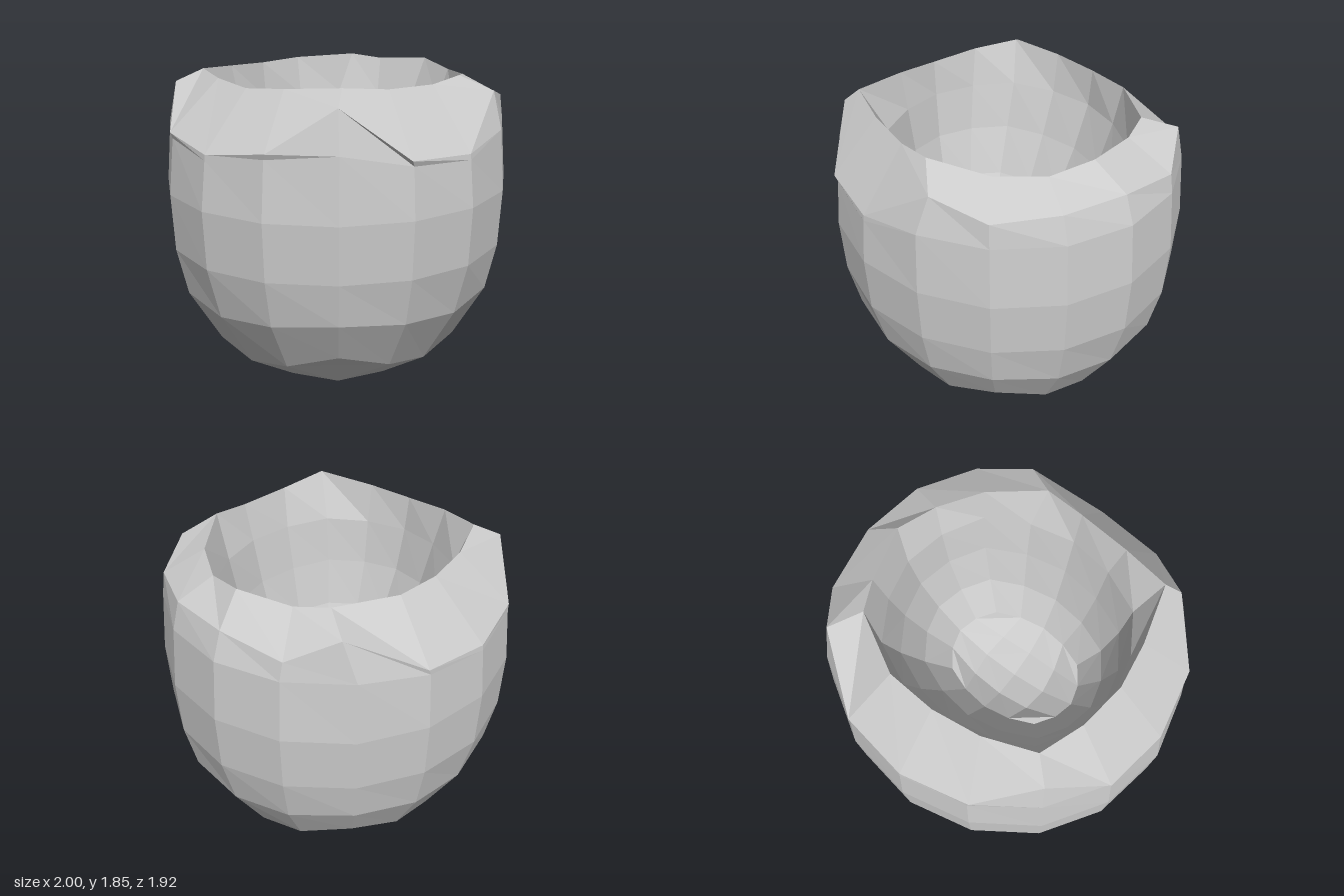
import * as THREE from 'three';

const SIDES = 16;

// One loop of points around the y axis, starting at +x and turning towards the front.
// rule(k, m) gives [radiusX, radiusZ, y, offsetZ]; m is 0 mid-side, 1 between, 2 at a corner.
function ring(rule) {
  return Array.from({ length: SIDES }, (_, k) => {
    const a = (k * Math.PI * 2) / SIDES;
    const [rx, rz, y, oz = 0] = rule(k, 2 - Math.abs((k % 4) - 2));
    return [rx * Math.cos(a), y, rz * Math.sin(a) + oz];
  });
}

// Quads between two neighbouring loops
function band(out, lower, upper) {
  for (let k = 0; k < SIDES; k++) {
    const n = (k + 1) % SIDES;
    out.push(lower[k], upper[k], upper[n], lower[k], upper[n], lower[n]);
  }
}

// A 4 x 4 grid of quads that closes a loop
function cap(out, outer, inner, centre, facingUp) {
  const point = (i, j) => {
    const level = Math.max(Math.abs(i), Math.abs(j));
    if (level === 0) return centre;
    const k = (Math.round((Math.atan2(j, i) * 8) / Math.PI) + SIDES) % SIDES;
    return (level === 2 ? outer : inner)[k];
  };
  for (let i = -2; i < 2; i++) {
    for (let j = -2; j < 2; j++) {
      const a = point(i, j), b = point(i + 1, j), c = point(i + 1, j + 1), d = point(i, j + 1);
      // split away from the corners so the grid stays convex
      const tris = i * j < 0 || (i + 1) * (j + 1) <= 0 ? [a, b, c, a, c, d] : [a, b, d, b, c, d];
      if (facingUp) tris.reverse();
      out.push(...tris);
    }
  }
}

function mesh(name, points, material) {
  const geometry = new THREE.BufferGeometry();
  geometry.setAttribute('position', new THREE.Float32BufferAttribute(points.flat(), 3));
  geometry.computeVertexNormals();
  const result = new THREE.Mesh(geometry, material);
  result.name = name;
  return result;
}

// Chipped rim: outer and inner edges
const rimOuter = [
  [0.91, 1.70, 0], [0.85, 1.70, 0.35], [0.67, 1.68, 0.65], [0.39, 1.75, 0.79],
  [0, 1.49, 0.93], [-0.39, 1.51, 0.87], [-0.65, 1.77, 0.62], [-0.90, 1.55, 0.37],
  [-0.965, 1.50, 0], [-0.90, 1.55, -0.37], [-0.66, 1.77, -0.62], [-0.38, 1.55, -0.86],
  [0, 1.52, -0.93], [0.38, 1.55, -0.86], [0.70, 1.77, -0.58], [0.87, 1.65, -0.36],
];
const rimInner = [
  [0.73, 1.83, 0.05], [0.66, 1.79, 0.28], [0.50, 1.80, 0.50], [0.22, 1.84, 0.68],
  [0, 1.815, 0.675], [-0.30, 1.82, 0.635], [-0.57, 1.85, 0.57], [-0.65, 1.82, 0.25],
  [-0.68, 1.80, 0], [-0.64, 1.82, -0.27], [-0.55, 1.84, -0.51], [-0.27, 1.82, -0.60],
  [0, 1.81, -0.625], [0.27, 1.82, -0.60], [0.58, 1.83, -0.42], [0.66, 1.81, -0.25],
];

export function createModel() {
  const group = new THREE.Group();
  group.name = 'chippedBowl';
  const material = new THREE.MeshStandardMaterial({ color: 0xcccccc, flatShading: true });

  // Outer wall: a cube-based sphere, radius and height per row for mid, between and corner
  const rows = [
    [[0.70, 0.27], [0.742, 0.322], [0.80, 0.42]],
    [[0.905, 0.60], [0.925, 0.63], [0.94, 0.66]],
    [[0.985, 0.89], [0.985, 0.895], [0.985, 0.90]],
    [[1, 1.21], [1, 1.21], [1, 1.21]],
  ].map((row) => ring((k, m) => [row[m][0], row[m][0] * 0.96, row[m][1]]));
  rows.push(ring((k) => [0.968, 0.968 * 0.965, Math.min(1.55, rimOuter[k][1] - 0.03)]));
  rows.push(rimOuter);
  const wall = [];
  for (let i = 0; i + 1 < rows.length; i++) band(wall, rows[i], rows[i + 1]);
  group.add(mesh('outerWall', wall, material));

  // Rounded base
  const base = [];
  const baseInner = ring((k, m) => (m === 2 ? [0.484, 0.465, 0.125] : [0.383, 0.37, 0.072]));
  cap(base, rows[0], baseInner, [0, 0, 0], false);
  group.add(mesh('base', base, material));

  // Rim facets
  const rim = [];
  band(rim, rimOuter, rimInner);
  group.add(mesh('rim', rim, material));

  // Hollow: loops step inwards and towards the front as they go down
  const levels = [
    [0.66, 0.615, 1.60, 0.01],
    [0.62, 0.54, 1.34, 0.03],
    [0.54, 0.44, 1.07, 0.06],
    [0.41, 0.31, 0.85, 0.08],
  ].map((level) => ring((k, m) => {
    const [rx, rz, y, oz] = level;
    const bulge = m === 2 ? 1.04 : 1;
    return [rx * bulge, rz * bulge, y, oz];
  }));
  const hollow = [];
  [rimInner, ...levels].forEach((loop, i, all) => {
    if (i + 1 < all.length) band(hollow, loop, all[i + 1]);
  });
  const floorInner = ring((k, m) => (m === 2 ? [0.27, 0.21, 0.76, 0.08] : [0.21, 0.16, 0.74, 0.08]));
  cap(hollow, levels[3], floorInner, [0, 0.71, 0.08], true);
  group.add(mesh('hollow', hollow, material));

  return group;
}
